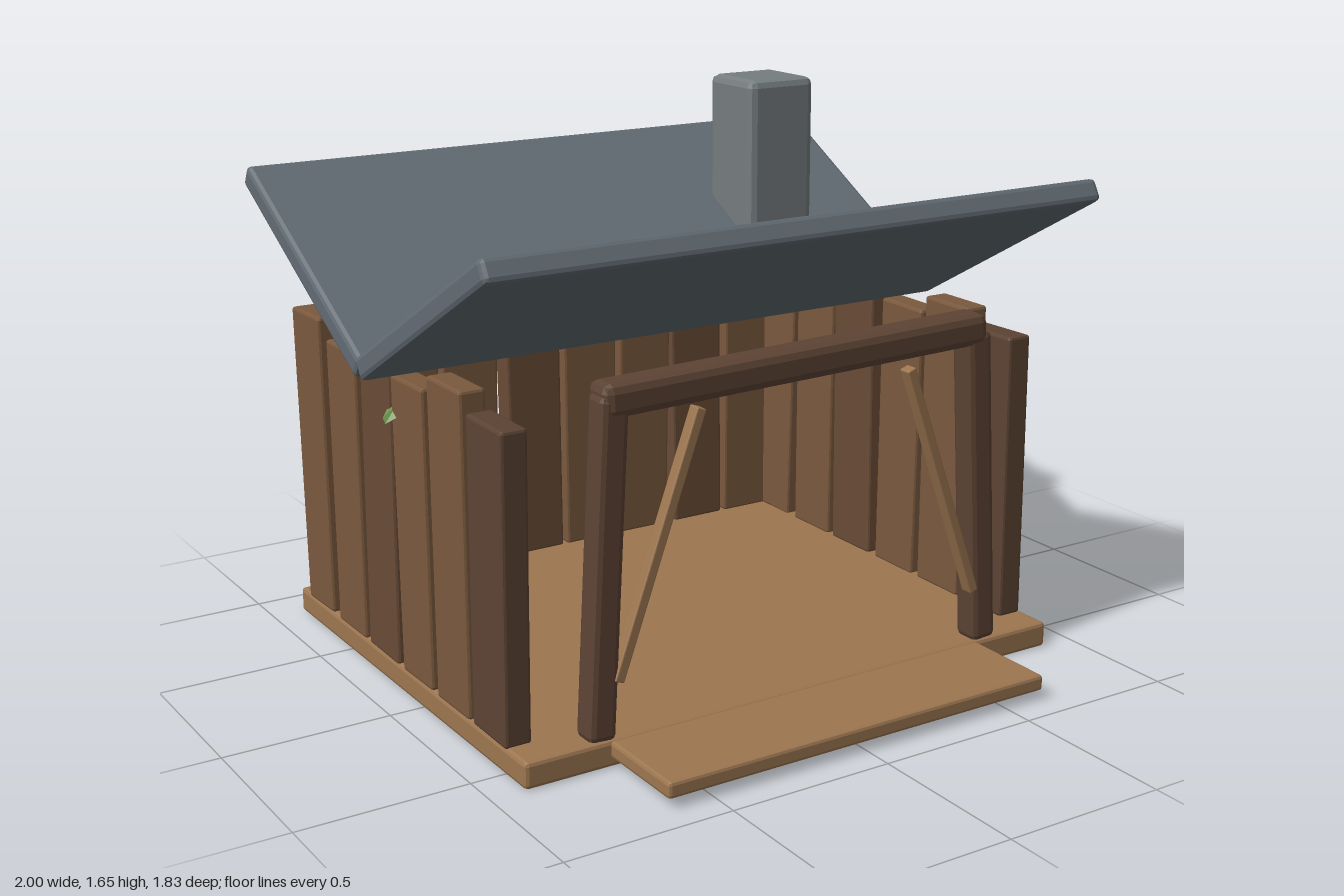
import * as THREE from 'three';
import { RoundedBoxGeometry } from 'three/addons/geometries/RoundedBoxGeometry.js';

const paint = (color, side = THREE.FrontSide) =>
  new THREE.MeshStandardMaterial({ color, flatShading: true, side });

const floorWood = paint(0x9c7650);
const plankWood = paint(0x7a593e);
const midWood = paint(0x6a4c37);
const darkWood = paint(0x5c4334);
const slate = paint(0x626b73);
const stone = paint(0x757d7f);
const green = paint(0x6f9550, THREE.DoubleSide);

// Box with a single flat chamfer on every edge
function block(name, w, h, d, bevel, material, x, y, z) {
  const mesh = new THREE.Mesh(new RoundedBoxGeometry(w, h, d, 1, bevel), material);
  mesh.name = name;
  mesh.position.set(x, y, z);
  return mesh;
}

// Upright board from the floor to a top height; taper narrows its foot
function plank(name, top, material, taper) {
  const base = 0.075, h = top - base;
  const mesh = block(name, 0.2, h, 0.08, 0.009, material, 0, base + h / 2, 0);
  const p = mesh.geometry.attributes.position;
  for (let i = 0; i < p.count; i++) {
    const t = 0.5 - p.getY(i) / h;
    p.setX(i, p.getX(i) * (1 - taper * t));
  }
  return mesh;
}

// Chamfered beam between two points
function beam(name, a, b, w, d, bevel, material) {
  const from = new THREE.Vector3(...a), to = new THREE.Vector3(...b);
  const mid = from.clone().add(to).multiplyScalar(0.5);
  const mesh = block(name, w, from.distanceTo(to), d, bevel, material, mid.x, mid.y, mid.z);
  mesh.quaternion.setFromUnitVectors(new THREE.Vector3(0, 1, 0), to.sub(from).normalize());
  return mesh;
}

// Pointed leaf, arched along its length and folded along the middle
function leaf(x, y, z, length, turn, tilt) {
  const geo = new THREE.PlaneGeometry(length, 0.1, 4, 2).rotateX(-Math.PI / 2);
  const p = geo.attributes.position;
  for (let i = 0; i < p.count; i++) {
    const u = p.getX(i) / (length / 2), v = p.getZ(i) / 0.05;
    p.setZ(i, p.getZ(i) * (1.05 - 0.85 * u * u));
    p.setY(i, 0.02 - 0.035 * u * u - 0.015 * Math.abs(v));
  }
  const mesh = new THREE.Mesh(geo, green);
  mesh.name = 'leaf';
  mesh.position.set(x, y, z);
  mesh.rotation.set(0, turn, tilt);
  return mesh;
}

export function createModel() {
  const model = new THREE.Group();
  model.name = 'shed';

  // Floor and front step
  model.add(block('floor', 1.8, 0.078, 1.5, 0.012, floorWood, 0, 0.04, -0.13));
  model.add(block('step', 1.27, 0.048, 0.3, 0.01, floorWood, -0.005, 0.053, 0.762));

  // Side walls: [z, top, lean, material]
  const sideBoards = [
    [0.415, 0.96, -0.012, darkWood, 0.04],
    [0.2, 1.01, 0.004, plankWood, 0.02],
    [-0.025, 0.96, 0.012, plankWood, 0.05],
    [-0.255, 1.01, -0.012, midWood, 0],
    [-0.48, 0.96, 0.004, plankWood, 0.03],
    [-0.715, 1.01, 0.022, plankWood, 0.08],
  ];
  for (const s of [1, -1]) {
    const wall = new THREE.Group();
    wall.name = s > 0 ? 'leftWall' : 'rightWall';
    for (const [z, top, lean, mat, taper] of sideBoards) {
      const board = plank('sidePlank', top, mat, taper);
      board.rotation.set(0, Math.PI / 2, 0);
      const holder = new THREE.Group();
      holder.name = 'plankHolder';
      holder.add(board);
      holder.position.set(s > 0 ? 0.85 : -0.86, 0, z);
      holder.rotation.x = lean * s;
      wall.add(holder);
    }
    model.add(wall);
  }

  // Back wall: [x, top, lean, material, taper]
  const backWall = new THREE.Group();
  backWall.name = 'backWall';
  const backBoards = [
    [-0.765, 0.98, -0.02, darkWood, 0.04],
    [-0.54, 1.0, 0.006, plankWood, 0.06],
    [-0.335, 1.05, -0.012, plankWood, 0.03],
    [-0.1, 0.96, 0.01, midWood, 0.06],
    [0.11, 1.0, 0, plankWood, 0.04],
    [0.32, 1.05, -0.014, plankWood, 0.06],
    [0.53, 0.99, 0.015, midWood, 0.05],
    [0.745, 1.05, -0.008, plankWood, 0.05],
  ];
  for (const [x, top, lean, mat, taper] of backBoards) {
    const board = plank('backPlank', top, mat, taper);
    board.position.x = x;
    board.position.z = -0.81;
    board.rotation.z = lean;
    backWall.add(board);
  }
  model.add(backWall);

  // Doorway: leaning posts, tilted lintel and thin braces
  const doorway = new THREE.Group();
  doorway.name = 'doorway';
  for (const s of [-1, 1]) {
    doorway.add(beam('doorPost', [s * 0.66, 0.075, 0.575], [s * 0.605, 1.03, 0.57],
      0.085, 0.085, 0.018, darkWood));
    doorway.add(beam('doorBrace', [s * 0.61, 0.24, 0.6], [s * 0.35, 0.96, 0.6],
      0.03, 0.04, 0.004, floorWood));
  }
  doorway.add(beam('lintel', [-0.64, 1.013, 0.565], [0.63, 1.038, 0.565],
    0.095, 0.105, 0.025, darkWood));
  model.add(doorway);

  // Valley roof: two slabs rising away from each other
  const slope = 0.506, length = 0.885;
  for (const s of [1, -1]) {
    const slab = block(s > 0 ? 'frontRoof' : 'backRoof', 2, 0.07, length, 0.015, slate,
      0, 0.985 + Math.sin(slope) * length / 2, -0.13 + s * Math.cos(slope) * length / 2);
    slab.rotation.x = -s * slope;
    model.add(slab);
  }

  // Chimney
  model.add(block('chimney', 0.24, 0.61, 0.24, 0.024, stone, 0.57, 1.345, -0.455));

  // Leaves caught on the boards
  model.add(leaf(-0.835, 0.86, -0.14, 0.2, 0.2, 0.06));
  model.add(leaf(0.68, 1.035, -0.78, 0.18, 0.7, 0.1));
  model.add(leaf(-0.76, 0.975, -0.83, 0.19, -0.4, -0.1));
  return model;
}
